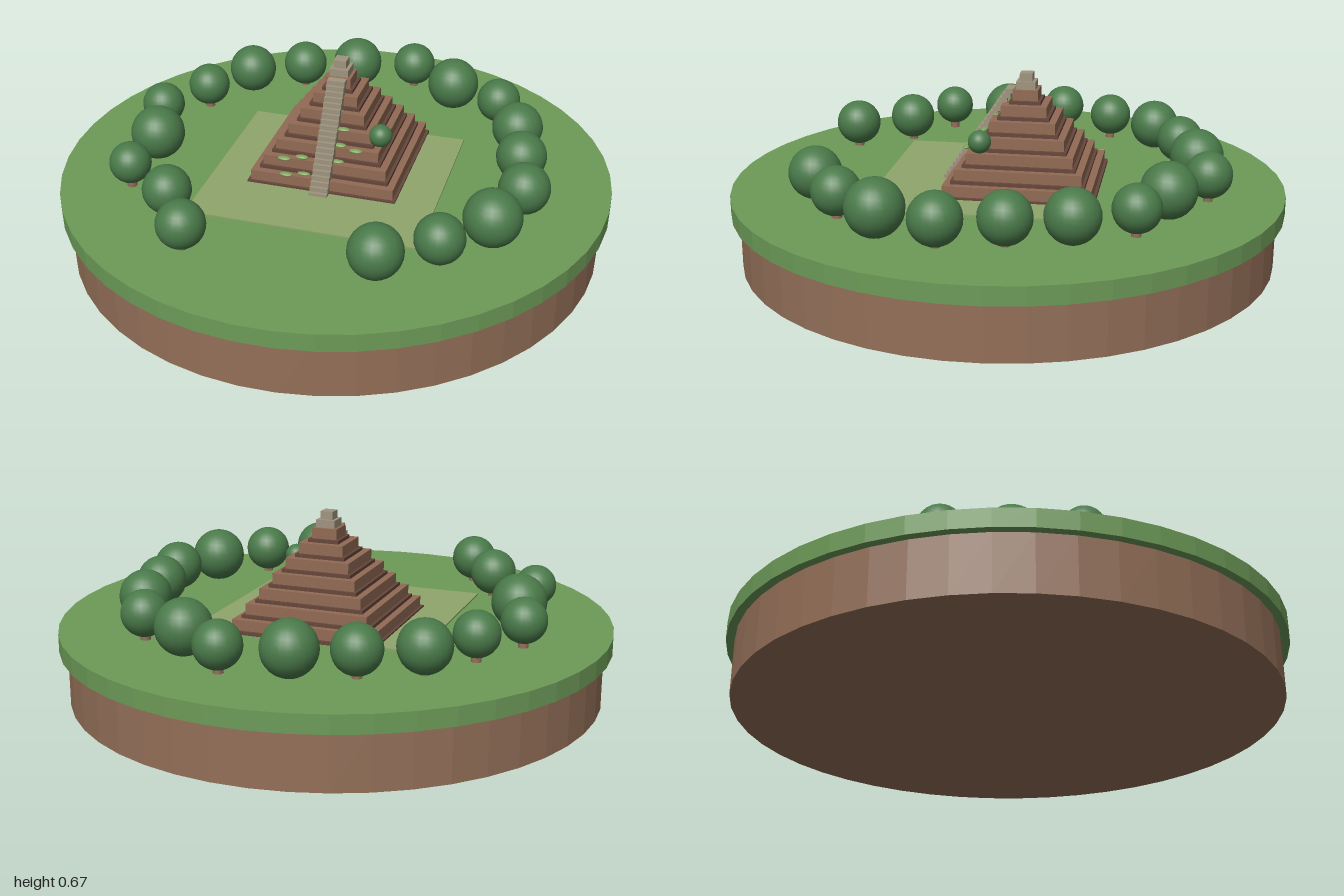
import * as THREE from 'three';

const flat = (name, color) => {
  const m = new THREE.MeshStandardMaterial({ color });
  m.name = name;
  return m;
};

export function createModel() {
  const soil = flat('soil', 0x936f58);
  const grass = flat('grass', 0x6d9b58);
  const clearing = flat('clearing', 0x8fa56c);
  const brick = flat('brick', 0x926a54);
  const darkBrick = flat('dark brick', 0x66463a);
  const stone = flat('stone', 0xa0947f);
  const leaf = flat('leaf', 0x4a7a4a);
  const moss = flat('moss', 0x7fa35c);

  const model = new THREE.Group();
  const add = (parent, name, geo, mat, x, y, z) => {
    const mesh = new THREE.Mesh(geo, mat);
    mesh.name = name;
    mesh.position.set(x, y, z);
    parent.add(mesh);
    return mesh;
  };
  const box = (w, h, d) => new THREE.BoxGeometry(w, h, d);
  const GROUND = 0.265;

  // Round island: soil below, wider turf disc on top
  const disc = (r, h) => new THREE.CylinderGeometry(r, r, h, 48).toNonIndexed();
  for (const [name, r, h, mat, y] of [['soilBase', 0.97, 0.2, soil, 0.1], ['turf', 1, 0.065, grass, 0.2325]]) {
    const geo = disc(r, h);
    geo.computeVertexNormals();
    add(model, name, geo, mat, 0, y, 0);
  }

  // Pyramid and clearing share one turned frame
  const site = new THREE.Group();
  site.name = 'pyramidSite';
  site.position.set(0.024, GROUND, -0.065);
  site.rotation.y = -0.35;
  model.add(site);
  add(site, 'clearing', box(0.83, 0.006, 0.765), clearing, 0, 0.003, 0.137);

  // Stepped tiers, each on a narrow dark plinth
  const TIERS = 7, RISE = 0.05, RUN = 0.036, HALF = 0.273;
  for (let i = 0; i < TIERS; i++) {
    const w = 2 * (HALF - i * RUN);
    add(site, 'tierPlinth', box(w, 0.012, w), darkBrick, 0, i * RISE + 0.006, 0);
    add(site, 'tier', box(w - 0.022, RISE, w - 0.022), brick, 0, (i + 0.5) * RISE, 0);
  }

  // Small stone shrine on the summit
  add(site, 'shrine', box(0.07, 0.028, 0.07), stone, 0, 0.364, 0);
  add(site, 'shrineRoof', box(0.046, 0.03, 0.046), stone, 0, 0.392, 0);

  // Stairway up the front
  const STEPS = 21;
  for (let i = 0; i < STEPS; i++) {
    const h = 0.35 / STEPS;
    add(site, 'stairStep', box(0.066, h, 0.03), stone, 0, (i + 0.5) * h, 0.287 - i * 0.0114);
  }

  // Moss pads lying on the ledges
  const ball = new THREE.SphereGeometry(1, 24, 16);
  const ledge = (x, z) => {
    const reach = Math.max(Math.abs(x), Math.abs(z));
    return RISE * Math.min(TIERS, 1 + Math.floor((HALF - reach) / RUN));
  };
  const pads = [[-0.144, 0.236], [-0.086, 0.21], [-0.07, 0.238], [-0.13, 0.26], [0, 0.07],
    [0.014, 0.11], [0.05, 0.147], [0.045, 0.175], [0.11, 0.2], [0.045, 0.205]];
  for (const [x, z] of pads) {
    add(site, 'mossPad', ball, moss, x, ledge(x, z) + 0.003, z).scale.set(0.024, 0.007, 0.013);
  }

  // Bush growing on a ledge
  add(site, 'ledgeBush', ball, leaf, 0.185, 0.195, 0.14).scale.setScalar(0.041);

  // Ring of round trees: x, z, radius
  const trees = [
    [-0.295, -0.645, 0.092], [-0.08, -0.68, 0.086], [0.134, -0.675, 0.097], [0.364, -0.642, 0.083],
    [0.497, -0.455, 0.099], [0.652, -0.3, 0.083], [0.684, -0.08, 0.094], [0.658, 0.134, 0.091],
    [0.626, 0.353, 0.091], [0.486, 0.53, 0.101], [0.294, 0.642, 0.086], [0.08, 0.7, 0.094],
    [-0.545, 0.5, 0.085], [-0.6, 0.278, 0.086], [-0.738, 0.086, 0.075], [-0.652, -0.13, 0.099],
    [-0.642, -0.36, 0.08], [-0.47, -0.513, 0.08],
  ];
  const trunk = new THREE.CylinderGeometry(0.015, 0.018, 0.09, 8);
  for (const [x, z, r] of trees) {
    add(model, 'treeTrunk', trunk, soil, x, GROUND + 0.045, z);
    add(model, 'treeCrown', ball, leaf, x, 0.36, z).scale.setScalar(r);
  }

  return model;
}
